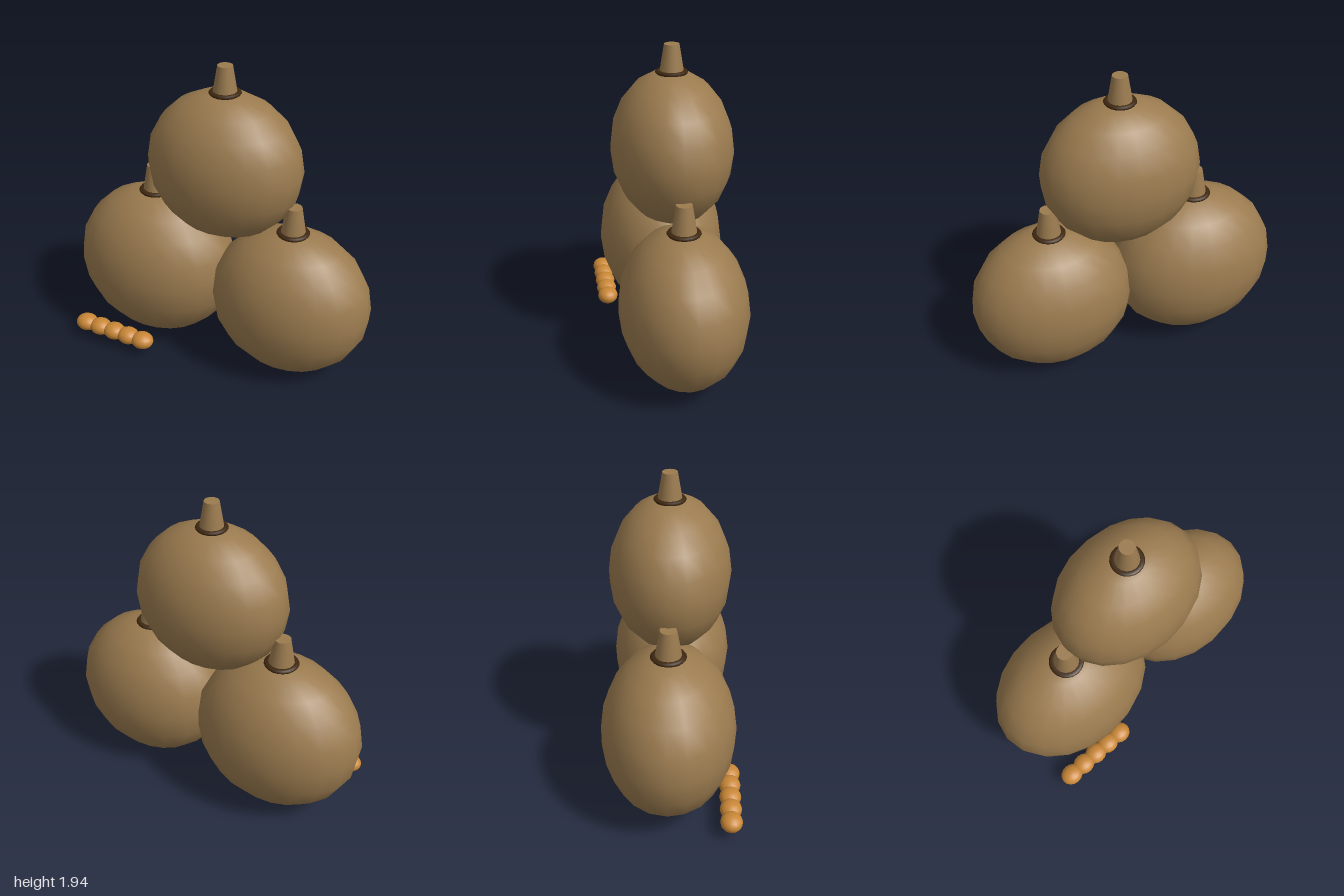
import * as THREE from 'three';

export function createModel() {
  const model = new THREE.Group();
  const tan = new THREE.MeshStandardMaterial({ color: 0x9b7b4f });
  tan.name = 'tan';
  const darkBrown = new THREE.MeshStandardMaterial({ color: 0x3d2710 });
  darkBrown.name = 'dark brown';
  const orange = new THREE.MeshStandardMaterial({ color: 0xc98736 });
  orange.name = 'orange';

  const add = (parent, name, geometry, material, x, y, z) => {
    const mesh = new THREE.Mesh(geometry, material);
    mesh.name = name;
    mesh.position.set(x, y, z);
    parent.add(mesh);
    return mesh;
  };

  // One flattened gourd: body, collar ring and tapered stem, sized by s
  const gourd = (name, x, y, s, stemTop) => {
    const group = new THREE.Group();
    group.name = name;
    group.position.set(x, y, -0.018);
    const ry = 0.95 * s;
    const body = new THREE.SphereGeometry(1, 20, 10).scale(s, ry, 0.75 * s);
    add(group, 'body', body, tan, 0, 0, 0);

    const collar = new THREE.TorusGeometry(0.155 * s, 0.041 * s, 8, 20);
    collar.rotateX(Math.PI / 2).scale(1, 0.6, 1);
    add(group, 'collar', collar, darkBrown, 0, ry - 0.007, 0);

    const bottom = ry - 0.02;
    const height = stemTop - y - bottom;
    const stem = new THREE.CylinderGeometry(0.092 * s, 0.152 * s, height, 16);
    add(group, 'stem', stem, tan, 0, bottom + height / 2, 0);
    model.add(group);
  };
  gourd('rightGourd', -0.46, 0.525, 0.54, 1.205);
  gourd('leftGourd', 0.485, 0.495, 0.513, 1.15);
  gourd('topGourd', 0.027, 1.33, 0.488, 1.95);

  // Row of overlapping beads in front of the right gourd
  const beads = new THREE.Group();
  beads.name = 'beadRow';
  const bead = new THREE.SphereGeometry(1, 16, 10).scale(0.075, 0.053, 0.067);
  for (let i = 0; i < 5; i++) {
    add(beads, 'bead', bead, orange, -0.81 + i * 0.107, 0.105, 0.358);
  }
  model.add(beads);
  return model;
}
